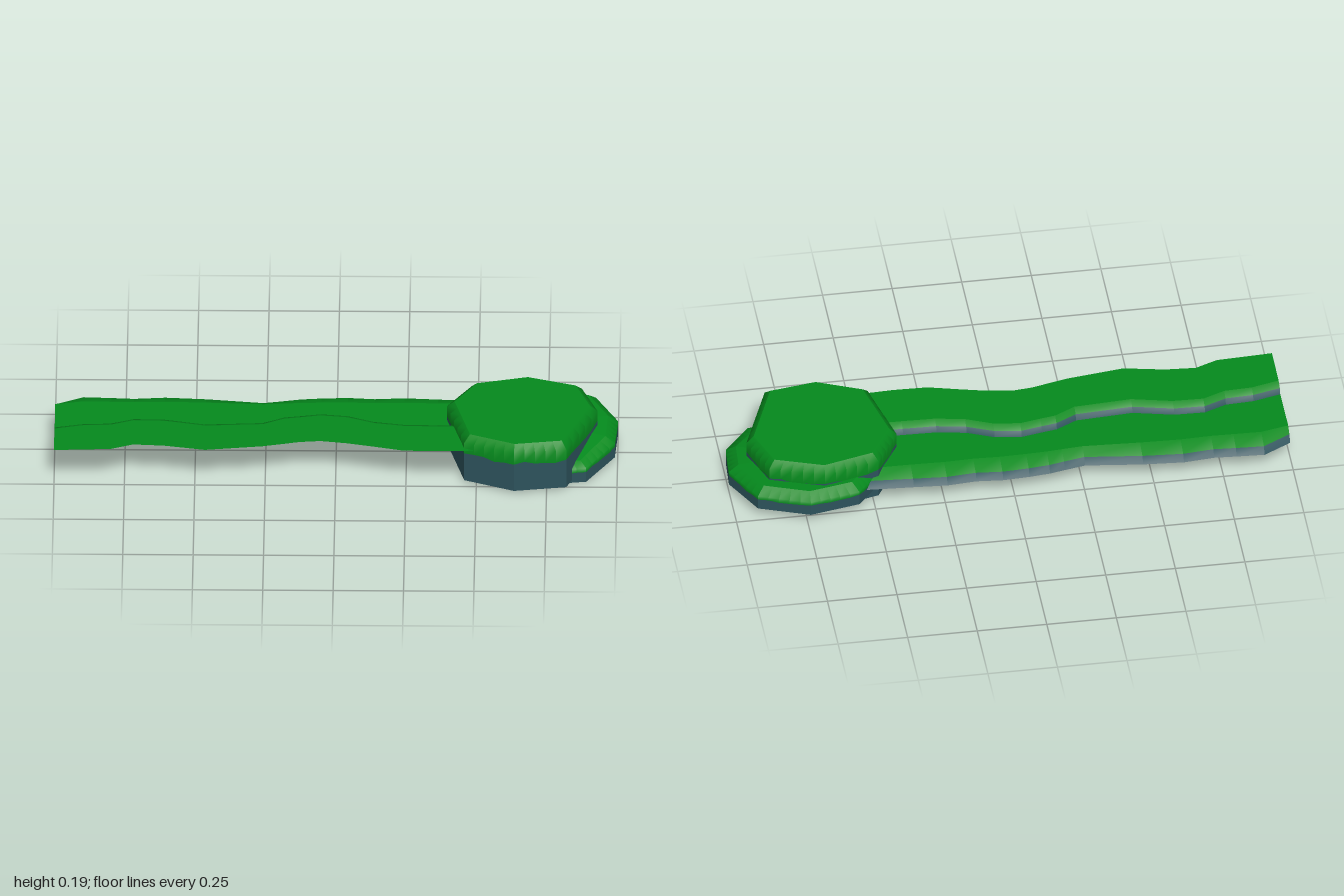
import * as THREE from 'three';

const grass = new THREE.MeshStandardMaterial({ color: 0x058a1d, side: THREE.DoubleSide });
const rock = new THREE.MeshStandardMaterial({ color: 0x2d535c, side: THREE.DoubleSide });
grass.name = 'grass green';
rock.name = 'slate rock';

// Bands between successive polylines of [x, y, z] points, one material per band.
// Normals are smooth across the bands and faceted along them.
function bands(parent, name, lines, materials) {
  const columns = lines[0].length - 1;
  const pos = [];
  const index = [];
  const g = new THREE.BufferGeometry();
  for (let c = 0; c < columns; c++) {
    for (const line of lines) pos.push(...line[c], ...line[c + 1]);
  }
  materials.forEach((_, band) => {
    g.addGroup(index.length, columns * 6, band);
    for (let c = 0; c < columns; c++) {
      const k = 2 * (c * lines.length + band);
      index.push(k, k + 1, k + 3, k, k + 3, k + 2);
    }
  });
  g.setAttribute('position', new THREE.Float32BufferAttribute(pos, 3));
  g.setIndex(index);
  g.computeVertexNormals();
  const mesh = new THREE.Mesh(g, materials);
  mesh.name = name;
  parent.add(mesh);
}

// Splits each segment of a polyline into n pieces
function subdivide(points, n) {
  const out = [points[0]];
  for (let i = 1; i < points.length; i++) {
    for (let k = 1; k <= n; k++) {
      out.push(points[i].map((v, j) => THREE.MathUtils.lerp(points[i - 1][j], v, k / n)));
    }
  }
  return out;
}

// Slightly ragged line where grass meets rock
const ragged = (i) => 0.005 * Math.sin(i * 1.3) + 0.003 * Math.sin(i * 2.9 + 1);

// Hollow rock with a bevelled grassy top, open below.
// Each row: x, z, then the bottom, grass line, shoulder and top heights
function createRock(name, outline, [cx, cy, cz], inset, roughness) {
  const group = new THREE.Group();
  group.name = name;
  const rows = subdivide([...outline, outline[0]], 5);
  const last = rows.length - 1;
  const base = rows.map(([x, z, b]) => [x, b, z]);
  const seam = rows.map(([x, z, , g], i) => [x, g + ragged(i % last) * roughness, z]);
  const shoulder = rows.map(([x, z, , , s]) => [x, s, z]);
  const rim = rows.map(([x, z, , , , t]) => [cx + (x - cx) * inset, t, cz + (z - cz) * inset]);
  const centre = rows.map(() => [cx, cy, cz]);
  bands(group, name + 'Wall', [base, seam, shoulder, rim], [rock, grass, grass]);
  bands(group, name + 'Top', [rim, centre], [grass]);
  return group;
}

// Winding two-level path, a thin sheet with a step along the middle
function createPath() {
  const group = new THREE.Group();
  group.name = 'path';
  // x, front edge z, step z, back edge z
  const rows = [
    [-1, 0.25, 0.06, -0.18], [-0.9, 0.245, 0.035, -0.235], [-0.8, 0.24, 0.03, -0.23],
    [-0.72, 0.207, -0.003, -0.225], [-0.61, 0.214, 0, -0.235], [-0.465, 0.243, 0.033, -0.225],
    [-0.26, 0.215, 0.02, -0.2], [-0.185, 0.197, -0.02, -0.215], [-0.13, 0.183, -0.03, -0.227],
    [-0.055, 0.175, -0.045, -0.235], [0.04, 0.19, -0.032, -0.24], [0.135, 0.213, 0.008, -0.232],
    [0.24, 0.24, 0.027, -0.24], [0.36, 0.243, 0.03, -0.232],
  ];
  // Each line ends at its own x and z, where it meets the mound
  const line = (y, zOf, endX, endZ) => [...rows.map((r) => [r[0], y, zOf(r)]), [endX, y, endZ]];
  const front = line(0.14, (r) => r[1], 0.49, 0.238);
  const crease = line(0.138, (r) => r[2] + 0.033, 0.422, 0.063);
  const stepTop = line(0.126, (r) => r[2] + 0.004, 0.415, 0.034);
  const stepFoot = line(0.106, (r) => r[2] - 0.006, 0.413, 0.024);
  const backCrease = line(0.109, (r) => r[3] * 0.4 - 0.06, 0.47, -0.152);
  const backEdge = line(0.091, (r) => r[3] + 0.02, 0.51, -0.202);
  const foot = line(0.068, (r) => r[3], 0.53, -0.222);
  bands(group, 'upperPath', [front, crease], [grass]);
  bands(group, 'step', [crease, stepTop, stepFoot], [grass, rock]);
  bands(group, 'lowerPath', [stepFoot, backCrease], [grass]);
  bands(group, 'backEdge', [backCrease, backEdge, foot], [grass, rock]);
  return group;
}

export function createModel() {
  const model = new THREE.Group();
  model.name = 'grassyPathAndMound';

  // Tall level mound
  const moundOutline = [
    [0.393, -0.04], [0.457, 0.222], [0.634, 0.297], [0.82, 0.268],
    [0.928, -0.01], [0.87, -0.171], [0.68, -0.236], [0.48, -0.185],
  ].map(([x, z]) => [x, z, 0.01, 0.118, 0.163, 0.187]);
  model.add(createRock('mound', moundOutline, [0.66, 0.187, 0.035], 0.9, 1));

  // Lower tilted ledge, partly inside the mound
  const ledgeOutline = [
    [0.51, 0.17, 0.003, 0.043, 0.058, 0.076], [0.72, 0.237, 0, 0.04, 0.053, 0.066],
    [0.89, 0.211, 0, 0.04, 0.055, 0.07], [0.99, 0.07, 0.02, 0.06, 0.078, 0.1],
    [1.0, -0.07, 0.032, 0.07, 0.088, 0.113], [0.92, -0.23, 0.037, 0.076, 0.092, 0.117],
    [0.74, -0.295, 0.037, 0.076, 0.092, 0.117], [0.56, -0.26, 0.037, 0.076, 0.092, 0.117],
    [0.475, -0.16, 0.037, 0.076, 0.092, 0.117], [0.43, 0, 0.027, 0.066, 0.083, 0.107],
  ];
  model.add(createRock('ledge', ledgeOutline, [0.73, 0.105, -0.03], 0.87, 0.5));

  model.add(createPath());
  return model;
}
